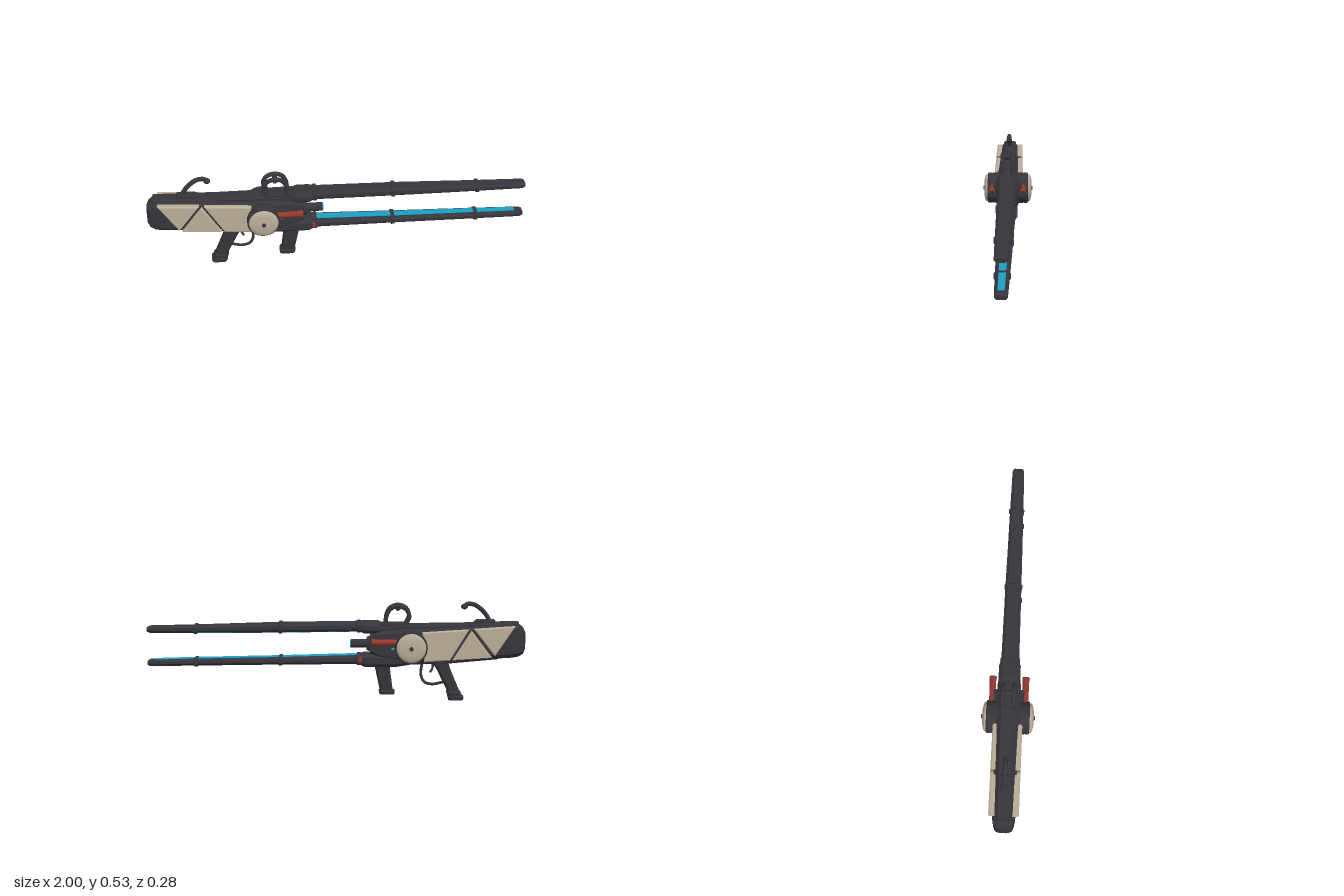
import * as THREE from 'three';

const mat = (name, color, extra = {}) => new THREE.MeshStandardMaterial({ name, color, ...extra });

// Lofts eight-sided sections. Each row: [position along axis, uLow, uHigh, vLow, vHigh, chamfer]
// axis x: u = y, v = z.   axis y: u = z, v = x.
function loft(axis, rows) {
  const rings = rows.map(([w, u0, u1, v0, v1, c]) =>
    [[u1, v0 + c], [u1, v1 - c], [u1 - c, v1], [u0 + c, v1], [u0, v1 - c], [u0, v0 + c], [u0 + c, v0], [u1 - c, v0]]
      .map(([u, v]) => (axis === 'x' ? [w, u, v] : [v, w, u])));
  const pos = [];
  const tri = (a, b, c) => pos.push(...a, ...b, ...c);
  for (let i = 0; i < rings.length - 1; i++) {
    for (let j = 0; j < 8; j++) {
      const k = (j + 1) % 8, p = rings[i], q = rings[i + 1];
      tri(p[j], p[k], q[k]);
      tri(p[j], q[k], q[j]);
    }
  }
  const first = rings[0], last = rings[rings.length - 1];
  for (let j = 1; j < 7; j++) {
    tri(last[0], last[j], last[j + 1]);
    tri(first[0], first[j + 1], first[j]);
  }
  const g = new THREE.BufferGeometry();
  g.setAttribute('position', new THREE.Float32BufferAttribute(pos, 3));
  g.computeVertexNormals();
  return g;
}

// Section symmetric in z, for lofts along x
const sec = (x, y0, y1, hz, c) => [x, y0, y1, -hz, hz, c];

const tube = (pts, r, seg = 28) => new THREE.TubeGeometry(
  new THREE.CatmullRomCurve3(pts.map(p => new THREE.Vector3(p[0], p[1], p[2] || 0))), seg, r, 10);

// Cylinder along x
const rod = (x0, x1, y, z, r0, r1 = r0) =>
  new THREE.CylinderGeometry(r1, r0, x1 - x0, 24).rotateZ(-Math.PI / 2).translate((x0 + x1) / 2, y, z);

const lerpRow = (rows, x) => {
  let i = 0;
  while (i < rows.length - 2 && x > rows[i + 1][0]) i++;
  const a = rows[i], b = rows[i + 1], t = (x - a[0]) / (b[0] - a[0]);
  return a.map((v, k) => v + (b[k] - v) * t);
};

export function createModel() {
  const group = new THREE.Group();
  const dark = mat('gunmetal', 0x36353b);
  const beige = mat('beige plating', 0xb8ad98);
  const red = mat('red', 0x93372d);
  const cyan = mat('cyan glow', 0x1a9fc2);
  const add = (name, geometry, material = dark) => {
    const m = new THREE.Mesh(geometry, material);
    m.name = name;
    group.add(m);
    return m;
  };

  // Main body with rounded rear cap and tapered nose
  add('body', loft('x', [
    sec(-1, 0.275, 0.365, 0.03, 0.014), sec(-0.99, 0.252, 0.39, 0.043, 0.02),
    sec(-0.965, 0.238, 0.408, 0.052, 0.022), sec(-0.93, 0.233, 0.41, 0.058, 0.022),
    sec(-0.5, 0.205, 0.39, 0.06, 0.024), sec(-0.36, 0.198, 0.39, 0.062, 0.026),
    sec(-0.24, 0.215, 0.385, 0.06, 0.03), sec(-0.185, 0.235, 0.37, 0.052, 0.03)]));
  add('topSpine', loft('x', [
    sec(-0.965, 0.39, 0.42, 0.036, 0.008), sec(-0.62, 0.38, 0.408, 0.04, 0.008),
    sec(-0.4, 0.375, 0.405, 0.043, 0.008), sec(-0.2, 0.365, 0.395, 0.045, 0.008)]));
  add('keel', loft('x', [
    sec(-0.86, 0.222, 0.26, 0.03, 0.008), sec(-0.6, 0.198, 0.24, 0.035, 0.008),
    sec(-0.4, 0.192, 0.24, 0.038, 0.008)]));

  // Beige side panels
  const panels = [
    [[-0.94, 0.402], [-0.73, 0.387], [-0.838, 0.247]],
    [[-0.715, 0.378], [-0.62, 0.224], [-0.822, 0.238]],
    [[-0.7, 0.384], [-0.46, 0.368], [-0.47, 0.214], [-0.603, 0.223]],
  ];
  for (const s of [1, -1]) {
    panels.forEach((pts, i) => {
      const shape = new THREE.Shape(pts.map(p => new THREE.Vector2(...p)));
      const g = new THREE.ExtrudeGeometry(shape, {
        depth: 0.022, bevelEnabled: true, bevelSize: 0.006, bevelThickness: 0.007, bevelOffset: -0.004, bevelSegments: 1 });
      add('sidePanel' + (i + 1), g.translate(0, 0, -0.011 + s * 0.058), beige);
    });

    // Round drum, domed cover and hub
    const turned = (name, profile, m) => add(name,
      new THREE.LatheGeometry(profile.map(p => new THREE.Vector2(...p)), 40)
        .rotateX(s * Math.PI / 2).translate(-0.4, 0.293, 0), m);
    turned('drum', [[0.07, 0.04], [0.085, 0.045], [0.085, 0.085], [0.082, 0.088], [0.085, 0.091], [0.085, 0.108], [0.08, 0.112], [0, 0.112]], dark);
    turned('drumCover', [[0.074, 0.11], [0.077, 0.115], [0.075, 0.121], [0.064, 0.127], [0.04, 0.132], [0, 0.134]], beige);
    turned('drumHub', [[0.011, 0.128], [0.011, 0.136], [0.008, 0.139], [0, 0.139]], dark);

    // Red side canisters
    add('canister', rod(-0.34, -0.205, 0.319, s * 0.086, 0.015, 0.017), red);
    add('canisterRim', rod(-0.21, -0.193, 0.319, s * 0.086, 0.019), red);
    add('canisterCap', rod(-0.194, -0.19, 0.319, s * 0.086, 0.018));
    add('canisterBracket', new THREE.BoxGeometry(0.07, 0.05, 0.035).translate(-0.3, 0.315, s * 0.062));
    add('indicator', new THREE.BoxGeometry(0.014, 0.012, 0.006).translate(-0.305, 0.282, s * 0.063), cyan);

    // Carrying loops on top
    add('topLoop', tube([[-0.365, 0.37], [-0.375, 0.41], [-0.39, 0.45], [-0.372, 0.488], [-0.33, 0.503],
      [-0.29, 0.488], [-0.27, 0.45], [-0.267, 0.41], [-0.267, 0.37]].map(p => [...p, s * 0.028]), 0.0115, 40));
    add('loopFoot', new THREE.BoxGeometry(0.15, 0.022, 0.026).translate(-0.315, 0.4, s * 0.028));
  }
  add('loopCrossbar', new THREE.CylinderGeometry(0.014, 0.014, 0.056, 20).rotateX(Math.PI / 2).translate(-0.33, 0.492, 0));

  // Centre emitter with glowing ring
  add('emitterBase', rod(-0.2, -0.165, 0.3, 0, 0.05, 0.034));
  add('emitter', rod(-0.19, -0.083, 0.3, 0, 0.023));
  add('emitterRing', new THREE.TorusGeometry(0.02, 0.0035, 8, 32).rotateY(Math.PI / 2).translate(-0.083, 0.3, 0), cyan);

  // Two long rails with bands, tips and glowing inner strips
  const rails = {
    upper: [sec(-0.13, 0.369, 0.416, 0.046, 0.014), sec(0.3, 0.361, 0.409, 0.042, 0.014),
      sec(0.74, 0.356, 0.394, 0.036, 0.012), sec(0.985, 0.354, 0.388, 0.032, 0.011), sec(1, 0.36, 0.382, 0.026, 0.008)],
    lower: [sec(-0.13, 0.194, 0.241, 0.046, 0.014), sec(0.3, 0.188, 0.227, 0.042, 0.013),
      sec(0.74, 0.179, 0.216, 0.036, 0.012), sec(0.985, 0.174, 0.208, 0.032, 0.011), sec(1, 0.18, 0.202, 0.026, 0.008)],
  };
  for (const [key, rows] of Object.entries(rails)) {
    add(key + 'Rail', loft('x', rows));
    for (const x of [-0.125, 0.29, 0.74]) {
      const [, y0, y1, , hz, c] = lerpRow(rows, x), e = 0.005;
      add(key + 'RailBand', loft('x', [
        sec(x - 0.012, y0, y1, hz, c), sec(x - 0.008, y0 - e, y1 + e, hz + e, c),
        sec(x + 0.008, y0 - e, y1 + e, hz + e, c), sec(x + 0.012, y0, y1, hz, c)]));
    }
    add(key + 'GlowStrip', loft('x', [-0.16, 0.3, 0.74, 0.955].map(x => {
      const row = lerpRow(rows, x), y = key === 'upper' ? row[1] : row[2];
      return sec(x, y - 0.003, y + 0.003, row[4] * 0.5, 0.001);
    })), cyan);
    // Flat boss on the rail tip
    const tipY = key === 'upper' ? 0.371 : 0.191;
    add(key + 'RailTip', new THREE.BoxGeometry(0.004, 0.01, 0.034).translate(0.998, tipY, 0));
  }
  add('upperMount', loft('x', [
    sec(-0.24, 0.365, 0.412, 0.05, 0.016), sec(-0.225, 0.358, 0.42, 0.056, 0.018),
    sec(-0.155, 0.358, 0.42, 0.056, 0.018), sec(-0.13, 0.368, 0.417, 0.047, 0.014)]));
  add('lowerMount', loft('x', [
    sec(-0.42, 0.196, 0.25, 0.05, 0.016), sec(-0.32, 0.18, 0.25, 0.056, 0.018),
    sec(-0.16, 0.178, 0.25, 0.056, 0.018), sec(-0.13, 0.19, 0.243, 0.047, 0.014)]));
  add('redBand', loft('x', [sec(-0.142, 0.193, 0.238, 0.054, 0.012), sec(-0.124, 0.193, 0.238, 0.054, 0.012)]), red);

  // Rear grip with flared foot; rows: y, zLow, zHigh, xLow, xHigh, chamfer
  add('rearGrip', loft('y', [
    [0.004, -0.034, 0.034, -0.68, -0.602, 0.012], [0.02, -0.037, 0.037, -0.682, -0.597, 0.012],
    [0.026, -0.032, 0.032, -0.674, -0.6, 0.012], [0.046, -0.035, 0.035, -0.667, -0.59, 0.012],
    [0.052, -0.028, 0.028, -0.66, -0.596, 0.012], [0.17, -0.033, 0.033, -0.61, -0.537, 0.014],
    [0.22, -0.036, 0.036, -0.595, -0.505, 0.014]]).translate(0, -0.004, 0));
  // Front grip
  add('frontGrip', loft('y', [
    [0.03, -0.034, 0.034, -0.317, -0.236, 0.012], [0.046, -0.036, 0.036, -0.317, -0.232, 0.012],
    [0.052, -0.028, 0.028, -0.306, -0.237, 0.012], [0.17, -0.035, 0.035, -0.29, -0.212, 0.014],
    [0.2, -0.037, 0.037, -0.3, -0.2, 0.014]]));

  // Trigger and guard
  add('triggerGuard', tube([[-0.468, 0.215], [-0.457, 0.17], [-0.457, 0.125], [-0.475, 0.093], [-0.515, 0.082], [-0.59, 0.098]], 0.0075));
  add('trigger', tube([[-0.515, 0.215], [-0.518, 0.175], [-0.505, 0.145]], 0.006, 10));

  // Rear hook on its mount
  add('hookMount', loft('x', [sec(-0.845, 0.4, 0.422, 0.02, 0.005), sec(-0.835, 0.4, 0.432, 0.022, 0.006),
    sec(-0.745, 0.4, 0.43, 0.022, 0.006), sec(-0.73, 0.4, 0.418, 0.02, 0.005)]));
  add('hook', tube([[-0.815, 0.42], [-0.797, 0.452], [-0.765, 0.488], [-0.727, 0.511], [-0.695, 0.512], [-0.678, 0.5]], 0.012));
  add('hookTip', new THREE.SphereGeometry(0.0165, 16, 12).scale(1.1, 0.9, 1).translate(-0.68, 0.499, 0));

  return group;
}
